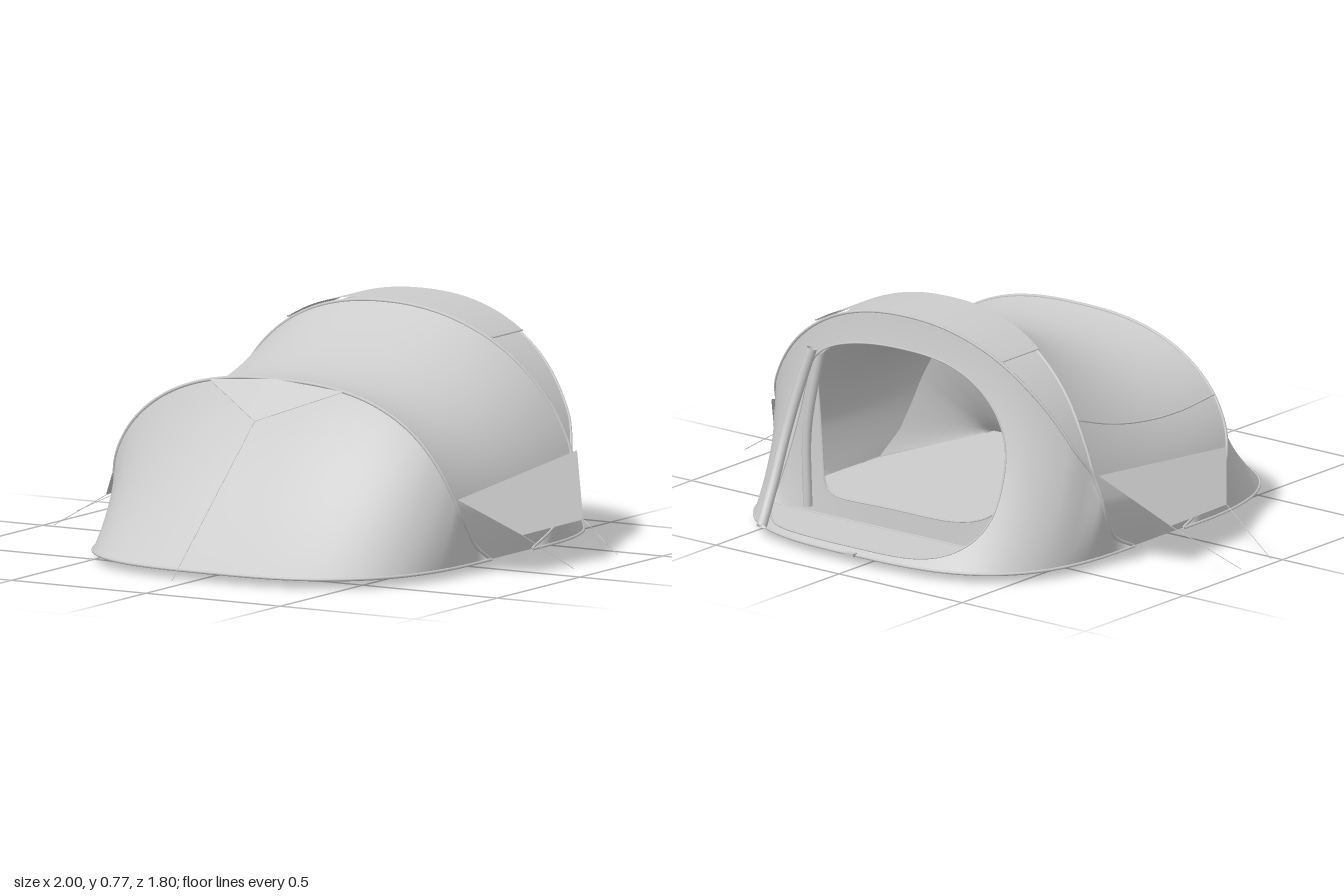
import * as THREE from 'three';
import { ParametricGeometry } from 'three/addons/geometries/ParametricGeometry.js';

const CX = 0.035, BASE = 0.03;
const V = (x, y, z) => new THREE.Vector3(x, y, z);
const spow = (v, p) => Math.sign(v) * Math.pow(Math.abs(v), p);

// Piecewise-linear lookup of z by height, lightly smoothed
function lookup(table, y) {
  const at = (q) => {
    if (q <= table[0][0]) return table[0][1];
    for (let i = 1; i < table.length; i++) {
      const [y0, z0] = table[i - 1], [y1, z1] = table[i];
      if (q <= y1) return z0 + (z1 - z0) * (q - y0) / (y1 - y0);
    }
    return table[table.length - 1][1];
  };
  const d = Math.min(0.02, y - BASE);
  return (at(y - d) + 2 * at(y) + at(y + d)) / 4;
}

// Arched hoop: t runs from the +x foot (0) over the top to the -x foot (PI)
function hoop(height, width, n, table) {
  return (t) => {
    const y = BASE + height * Math.pow(Math.max(0, Math.sin(t)), 2 / n);
    const w = 0.63 + (width - 0.63) * Math.min(1, (y - BASE) / 0.2);
    return V(CX + w * spow(Math.cos(t), 2 / n), y, lookup(table, y));
  };
}
const low = [[0.03, -0.25], [0.06, -0.33], [0.1, -0.38], [0.2, -0.44], [0.32, -0.47]];
const frontHoop = hoop(0.56, 0.66, 2.5, [[0.03, 0], [0.06, 0.07], [0.1, 0.12], [0.2, 0.2], [0.3, 0.235], [0.4, 0.25], [0.59, 0.262]]);
const midHoop = hoop(0.725, 0.685, 2.2, [...low, [0.45, -0.46], [0.62, -0.425], [0.75, -0.39]]);
const backHoop = hoop(0.725, 0.685, 2.2, [...low, [0.4, -0.52], [0.5, -0.55], [0.6, -0.58], [0.75, -0.61]]);

// Curved ground outline in front of or behind the feet
const ground = (z0, depth, n) => (t) => V(
  CX + 0.635 * spow(Math.cos(t), 2 / n), BASE, z0 + depth * Math.pow(Math.max(0, Math.sin(t)), 2 / n));
const frontGround = ground(0, 0.7, 2.9);
const backGround = ground(-0.25, -0.635, 3);

// Stretched fabric between two curves, pulled towards an offset
function stretch(a, b, pull = V(0, 0, 0)) {
  return (t, s) => {
    const p = a(t), q = b(t);
    const c = p.clone().add(q).multiplyScalar(0.5).addScaledVector(pull, Math.sin(t));
    return p.multiplyScalar((1 - s) * (1 - s)).addScaledVector(c, 2 * s * (1 - s)).addScaledVector(q, s * s);
  };
}

// Inner-tent version of a hoop, just inside the outer fabric
const inset = (fn) => (t) => {
  const p = fn(t);
  return V(CX + (p.x - CX) * 0.965, BASE + (p.y - BASE) * 0.965, p.z + 0.01);
};

export function createModel() {
  const model = new THREE.Group();
  model.name = 'popUpTent';
  const fabric = new THREE.MeshStandardMaterial({ color: 0xcccccc, side: THREE.DoubleSide });

  function add(name, geometry) {
    const mesh = new THREE.Mesh(geometry, fabric);
    mesh.name = name;
    model.add(mesh);
    return mesh;
  }
  function sheet(name, surface, nu = 72, nv = 16, t0 = 0, t1 = Math.PI) {
    add(name, new ParametricGeometry((u, v, out) => out.copy(surface(t0 + (t1 - t0) * u, v)), nu, nv));
  }
  function tube(name, points, r, segments = 64, sides = 6) {
    add(name, new THREE.TubeGeometry(new THREE.CatmullRomCurve3(points), segments, r, sides));
  }
  const sample = (fn, n = 48, t0 = 0, t1 = Math.PI) =>
    Array.from({ length: n + 1 }, (_, i) => fn(t0 + (t1 - t0) * i / n));

  // Sheet with a D-shaped opening: rings run from the opening to the sheet's border
  function doorSheet(name, surface, [tc, sc, tr, sr]) {
    const edge = (k) => {
      const side = Math.floor(k * 4) % 4, f = k * 4 - Math.floor(k * 4);
      const [t, s] = [[f, 0], [1, f], [1 - f, 1], [0, 1 - f]][side];
      return [t * Math.PI, s];
    };
    const opening = (k) => {
      const [t, s] = edge(k);
      const a = (t - tc) / tr, b = (s - sc) / sr;
      const n = a < 0 ? 9 : 2.8; // straight on the rolled side, round on the other
      const m = Math.pow(Math.pow(Math.abs(a), n) + Math.pow(Math.abs(b), n), -1 / n);
      return [tc + (t - tc) * m, sc + (s - sc) * m];
    };
    add(name, new ParametricGeometry((u, v, out) => {
      const [t0, s0] = opening(u), [t1, s1] = edge(u);
      out.copy(surface(t0 + (t1 - t0) * v, Math.min(1, s0 + (s1 - s0) * v)));
    }, 160, 14));
    tube(name + 'Trim', Array.from({ length: 97 }, (_, i) => surface(...opening(i / 96))), 0.003, 120, 5);
  }

  // Main fabric sections
  const roofSurface = stretch(frontHoop, midHoop, V(0, -0.15, 0));
  sheet('frontPanel', stretch(frontHoop, frontGround, V(0, -0.06, -0.06)));
  sheet('roof', roofSurface, 72, 24);
  sheet('ventBand', stretch(midHoop, backHoop), 72, 6);
  doorSheet('backPanel', stretch(backHoop, backGround, V(0, -0.02, 0.1)), [1.59, 0.555, 0.6, 0.415]);

  // Raised vent cover on top of the band
  const raised = (t, s) => midHoop(t).lerp(backHoop(t), s * 1.04 - 0.02).add(V(0, 0.012, 0));
  sheet('ventCover', raised, 32, 4, 1.012, 2.112);
  for (const t of [1.012, 2.112]) tube('ventCoverEdge', [0, 0.5, 1].map((s) => raised(t, s)), 0.003, 10);

  // Inner tent
  const frontFloorLine = (t) => V(CX + 0.5 * Math.cos(t), BASE, 0.45 * Math.min(1, 4 * Math.sin(t) + 0.9));
  const backFloorLine = (t) => V(CX + 0.58 * Math.cos(t), BASE, -0.6);
  sheet('innerFrontWall', stretch(inset(frontHoop), frontFloorLine, V(0, -0.04, -0.04)), 48, 8);
  sheet('innerRoof', stretch(inset(frontHoop), inset(midHoop), V(0, -0.145, 0)), 60, 16);
  doorSheet('innerDoorWall', stretch(inset(backHoop), backFloorLine, V(0, 0, 0.02)), [1.6, 0.5, 0.66, 0.4]);

  // Floor, rounded at the back and tapering to a straight front edge
  const floorOutline = sample(backGround).map((p) => new THREE.Vector2(CX + (p.x - CX) * 0.96, -(p.z + 0.025)));
  floorOutline.push(...[[-0.6, 0], [-0.5, 0.44], [-0.48, 0.45], [0.48, 0.45], [0.5, 0.44], [0.6, 0]]
    .map(([x, z]) => new THREE.Vector2(CX + x, -z)));
  const floor = add('floor', new THREE.ShapeGeometry(new THREE.Shape(floorOutline)));
  floor.rotation.x = -Math.PI / 2;
  floor.position.y = BASE;
  tube('floorSeam', [backFloorLine(0), backFloorLine(Math.PI)], 0.004, 1);

  // Hoop poles, ground hems and roof seam
  tube('frontPole', sample(frontHoop), 0.006, 120);
  tube('middlePole', sample(midHoop), 0.006, 120);
  tube('backPole', sample(backHoop, 40, 0.25, Math.PI - 0.25), 0.005, 100);
  tube('frontHem', sample(frontGround), 0.005, 100);
  tube('backHem', sample(backGround), 0.005, 100);
  tube('roofSeam', [0, 0.25, 0.5, 0.75, 1].map((s) => roofSurface(2.51, s).add(V(-0.002, 0.002, 0))), 0.003, 30);

  // Rolled-up doors
  tube('doorRoll', [V(0.435, 0.04, -0.85), V(0.455, 0.16, -0.765), V(0.46, 0.32, -0.69), V(0.44, 0.47, -0.645), V(0.415, 0.58, -0.62)], 0.017, 30, 10);
  tube('innerDoorRoll', [V(0.44, 0.05, -0.61), V(0.45, 0.3, -0.6), V(0.41, 0.56, -0.585)], 0.015, 24, 8);

  // Hem tag behind the door
  const tag = add('hemTag', new THREE.BoxGeometry(0.035, 0.01, 0.03));
  tag.position.set(CX + 0.005, BASE + 0.003, -0.885);

  // Flat pieces of fabric given by four corners
  function flat(name, corners) {
    const g = new THREE.BufferGeometry().setFromPoints(corners);
    g.setIndex([0, 1, 2, 0, 2, 3]);
    g.computeVertexNormals();
    add(name, g);
  }
  const rope = (name, a, b) => add(name, new THREE.TubeGeometry(new THREE.LineCurve3(a, b), 1, 0.0012, 5));

  // Side wings with guy ropes
  for (const side of [1, -1]) {
    const at = (x, y, z) => V(CX + side * x, y, z);
    const corners = [at(0.665, 0.32, -0.47), at(0.805, 0.135, -0.28), at(0.775, 0.125, 0.04), at(0.64, 0.25, 0.21)];
    flat('sideWing', corners);
    rope('wingRope', corners[1], side > 0 ? V(1, 0.04, -0.23) : V(-1, 0.02, -0.21));
    rope('wingRope', corners[2], side > 0 ? V(0.955, 0.02, -0.035) : V(-0.97, 0.002, -0.02));
  }

  // Front pull-out flap with guy rope
  const tip = V(CX, 0.475, 0.4);
  const flapTop = [1.27, Math.PI / 2, Math.PI - 1.27].map((t) => frontHoop(t).add(V(0, 0.002, 0.006)));
  flat('frontFlap', [tip, ...flapTop]);
  rope('flapEdge', flapTop[0], tip);
  rope('flapEdge', flapTop[2], tip);
  rope('frontRope', tip, V(CX, 0.03, 0.9));

  return model;
}
